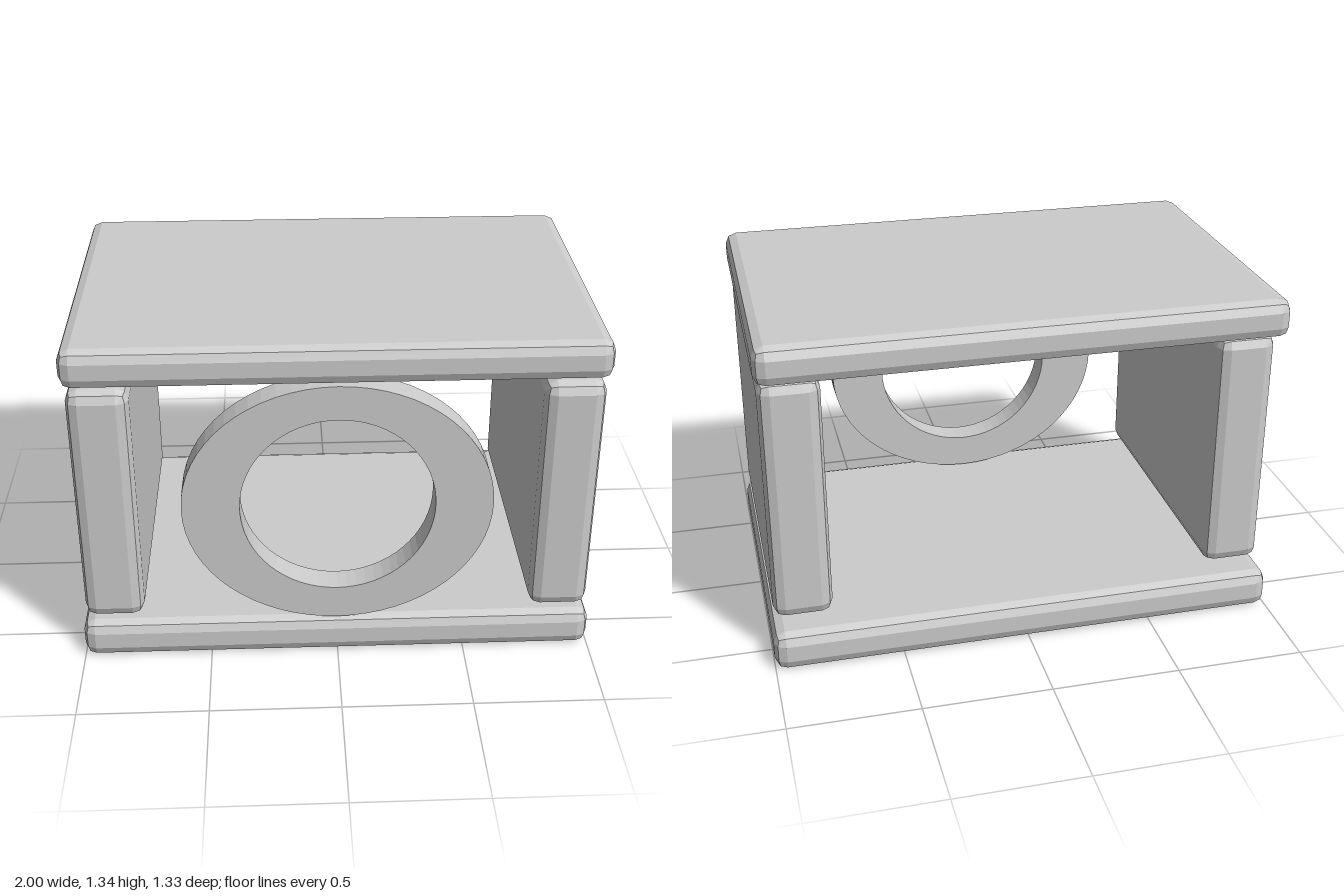
import * as THREE from 'three';
import { RoundedBoxGeometry } from 'three/addons/geometries/RoundedBoxGeometry.js';

export function createModel() {
  const group = new THREE.Group();
  const grey = new THREE.MeshStandardMaterial({ color: 0xcccccc, flatShading: true });
  grey.name = 'plain grey';

  // Slab with a two-facet bevel along every edge, given by its extents
  function slab(name, [x0, x1], [y0, y1], [z0, z1]) {
    const geometry = new RoundedBoxGeometry(x1 - x0, y1 - y0, z1 - z0, 1, 0.045);
    geometry.computeVertexNormals(); // faceted bevels
    const mesh = new THREE.Mesh(geometry, grey);
    mesh.name = name;
    mesh.position.set((x0 + x1) / 2, (y0 + y1) / 2, (z0 + z1) / 2);
    group.add(mesh);
  }

  // Base and top boards
  slab('baseBoard', [-1, 1], [0, 0.156], [-0.663, 0.663]);
  slab('topBoard', [-1, 1], [1.186, 1.338], [-0.663, 0.663]);

  // Upright side panels, set slightly towards the front
  slab('leftPanel', [0.757, 0.987], [0.178, 1.167], [-0.574, 0.645]);
  slab('rightPanel', [-0.987, -0.757], [0.178, 1.167], [-0.574, 0.645]);

  // Oval front ring with a round opening
  const outline = new THREE.Shape();
  outline.absellipse(0, 0, 0.59, 0.51, 0, Math.PI * 2, false);
  const opening = new THREE.Path();
  opening.absellipse(0, 0, 0.37, 0.372, 0, Math.PI * 2, true);
  outline.holes.push(opening);
  const ring = new THREE.Mesh(
    new THREE.ExtrudeGeometry(outline, { depth: 0.11, bevelEnabled: false, curveSegments: 32 }),
    grey
  );
  ring.name = 'frontRing';
  ring.position.set(0, 0.672, 0.538);
  group.add(ring);

  return group;
}
